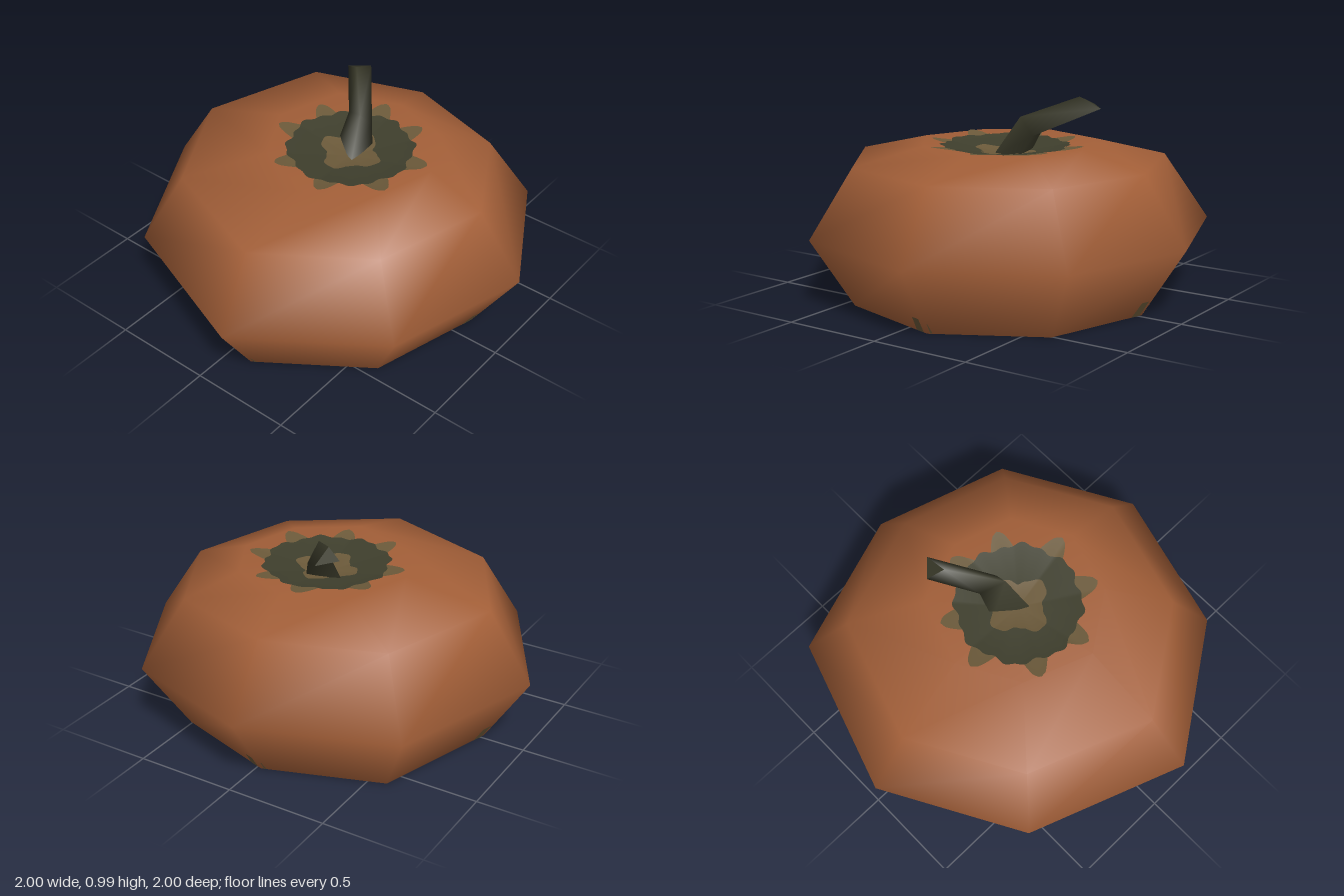
import * as THREE from 'three';

const mat = (name, color, side = THREE.FrontSide) => {
  const m = new THREE.MeshStandardMaterial({ color, side });
  m.name = name;
  return m;
};

// Eight-sided outline [x, z], counter-clockwise from above
const OUTLINE = [[-0.03, -1], [-0.75, -0.75], [-1, 0.03], [-0.62, 0.71], [0.16, 1], [0.8, 0.56], [1, -0.16], [0.65, -0.79]];
const ring = (scale, y, cx = 0, cz = 0) =>
  OUTLINE.map(([x, z]) => new THREE.Vector3(cx + x * scale, y, cz + z * scale));

// Crown: a shallow eight-sided dish around the stem
const CX = 0.06, CZ = -0.06, CROWN = 0.43, RIM_Y = 0.774, DISH_Y = 0.705;
function crownHeight(dx, dz) {
  const reach = OUTLINE.map(([x, z], i) => {
    const [x2, z2] = OUTLINE[(i + 1) % 8];
    const nx = z2 - z, nz = x - x2;
    return (nx * dx + nz * dz) / (nx * x + nz * z) / CROWN;
  });
  return DISH_Y + (RIM_Y - DISH_Y) * Math.max(...reach);
}

function build(points, index) {
  const g = new THREE.BufferGeometry().setFromPoints(points);
  g.setIndex(index);
  g.computeVertexNormals();
  return g;
}

// Fan from a centre point around the n points starting at base
const fan = (c, base, n) =>
  Array.from({ length: n }, (_, i) => [c, base + i, base + (i + 1) % n]).flat();

// Skin between rings, optionally closed smoothly with a top point
function loft(rings, top) {
  const n = rings[0].length, points = rings.flat(), index = [];
  for (let r = 0; r < rings.length - 1; r++) {
    for (let i = 0; i < n; i++) {
      const j = (i + 1) % n, a = r * n + i, b = r * n + j;
      index.push(a, b, b + n, a, b + n, a + n);
    }
  }
  if (top) {
    index.push(...fan(points.length, points.length - n, n));
    points.push(top);
  }
  return build(points, index);
}

// Thin patch lying in the dish, its edge given by radius(angle)
function patch(radius, lift) {
  const n = 192;
  const points = [new THREE.Vector3(CX, DISH_Y + lift, CZ)];
  for (let i = 0; i < n; i++) {
    const a = (i / n) * Math.PI * 2, r = radius(a);
    const dx = r * Math.cos(a), dz = -r * Math.sin(a);
    points.push(new THREE.Vector3(CX + dx, crownHeight(dx, dz) + lift, CZ + dz));
  }
  return build(points, fan(0, 1, n));
}

// Leaf tips [x, z] as angle and length from the stem
const TIPS = [[-0.015, -0.455], [0.245, -0.4], [0.45, -0.155], [0.41, 0.13], [0.16, 0.315], [-0.13, 0.285], [-0.33, 0.015], [-0.28, -0.245]]
  .map(([x, z]) => ({ angle: Math.atan2(CZ - z, x - CX), length: Math.hypot(x - CX, z - CZ) }));
const tipRadius = (a) => Math.max(0.27, ...TIPS.map(({ angle, length }) => {
  const d = Math.abs(Math.atan2(Math.sin(a - angle), Math.cos(a - angle)));
  return d < 0.08 ? length - 0.25 * d : length - 0.02 - (d - 0.08) * 0.6;
}));

export function createModel() {
  const model = new THREE.Group();
  model.name = 'pumpkin';
  const skin = mat('pumpkin orange', 0xa35f38, THREE.DoubleSide);
  const green = mat('dark leaf green', 0x3f3f2d);
  const bark = mat('stem green', 0x393929);
  const tan = mat('dry leaf brown', 0x6c5a3a, THREE.DoubleSide);
  const add = (name, geometry, material, parent = model) => {
    const m = new THREE.Mesh(geometry, material);
    m.name = name;
    parent.add(m);
  };

  // Squat hollow body, open underneath, with a dished crown
  const bottom = ring(0.78, 0), belly = ring(1, 0.34);
  const rings = [bottom, belly, ring(0.78, 0.675), ring(CROWN, RIM_Y, CX, CZ)];
  add('body', loft(rings, new THREE.Vector3(CX, DISH_Y, CZ)), skin);

  // Leaf collar around the stem
  const collar = new THREE.Group();
  collar.name = 'leafCollar';
  model.add(collar);
  add('leafTips', patch(tipRadius, 0.002), tan, collar);
  add('leafRing', patch((a) => 0.305 + 0.01 * Math.cos(8 * a + 0.6) + 0.007 * Math.sin(19 * a), 0.004), green, collar);
  add('leafCentre', patch((a) => 0.14 + 0.027 * Math.cos(4 * a) + 0.004 * Math.sin(13 * a), 0.006), tan, collar);

  // Bent three-sided stem
  const stem = [
    [[0.104, 0.69, -0.003], [0.12, 0.69, -0.16], [-0.065, 0.69, -0.11]],
    [[0.055, 0.9, -0.14], [0.068, 0.815, -0.22], [-0.06, 0.84, -0.2]],
    [[-0.135, 0.993, -0.355], [-0.135, 0.943, -0.475], [-0.215, 0.953, -0.39]],
  ].map((r) => r.map((p) => new THREE.Vector3(...p)));
  add('stem', loft(stem), bark);
  add('stemTip', build(stem[2], [0, 1, 2]), bark);

  // Small leaf marks at every other lower corner
  const mark = (i, j, t0, t1, top) => {
    const at = (t, v) => {
      const p = bottom[i].clone().lerp(bottom[j], t);
      p.lerp(belly[i].clone().lerp(belly[j], t), v);
      return p.multiply(new THREE.Vector3(1.003, 1, 1.003));
    };
    const order = (i - j + 8) % 8 === 1 ? [0, 2, 1, 0, 3, 2] : [0, 1, 2, 0, 2, 3];
    return build([at(t0, 0.005), at(t1, 0.005), at(t1 - 0.015, top), at(t0, top)], order);
  };
  for (let i = 0; i < 8; i += 2) {
    add('lowerLeafMark', mark(i, (i + 7) % 8, 0.035, 0.125, 0.23), tan);
    add('lowerLeafSliver', mark(i, (i + 1) % 8, 0.03, 0.05, 0.16), tan);
  }
  return model;
}
